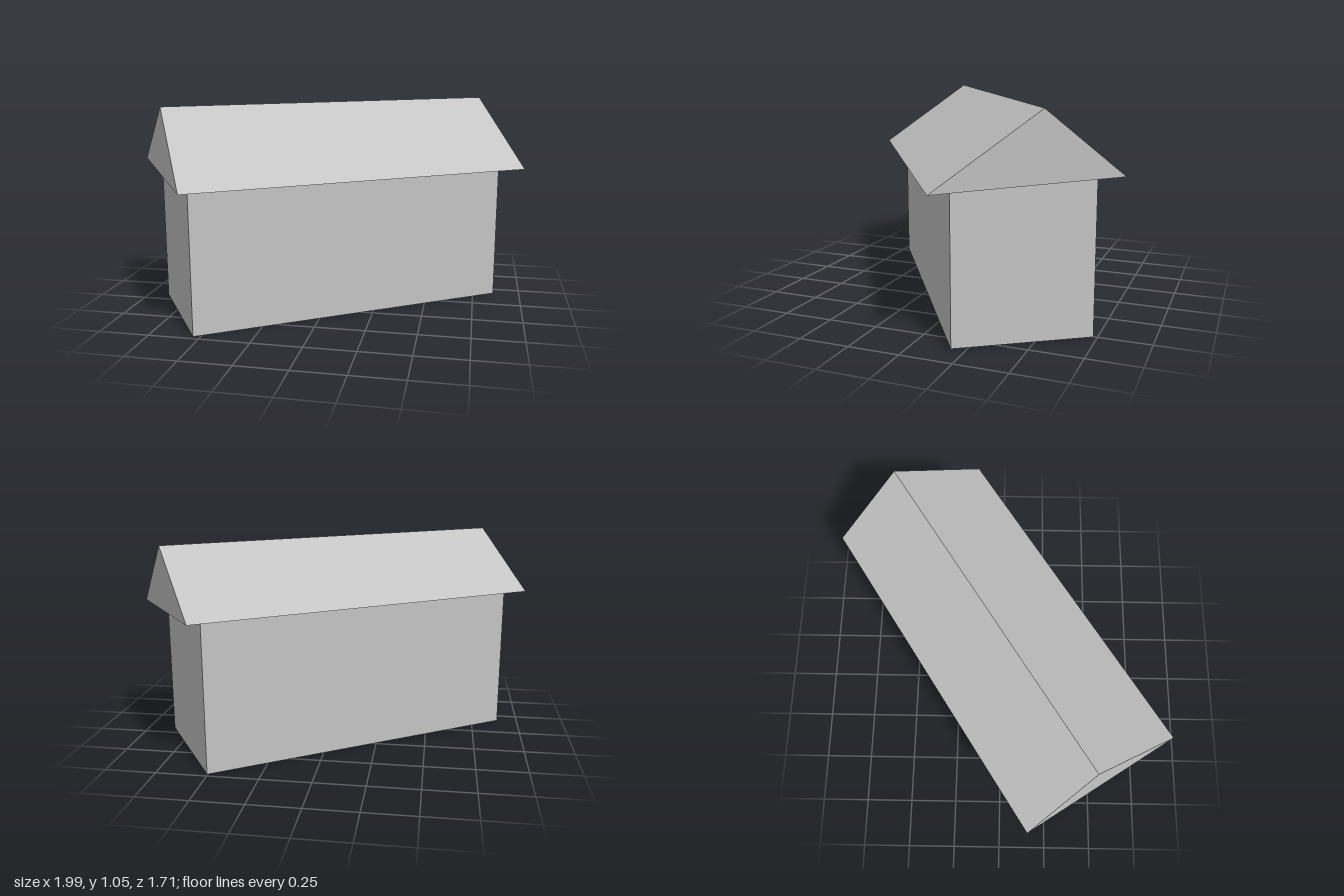
import * as THREE from 'three';

// Flat panel through three or four corners, listed anticlockwise from outside
function panel(name, corners, material) {
  const geometry = new THREE.BufferGeometry();
  geometry.setAttribute('position', new THREE.Float32BufferAttribute(corners.flat(), 3));
  geometry.setIndex(corners.length === 4 ? [0, 1, 2, 0, 2, 3] : [0, 1, 2]);
  geometry.computeVertexNormals();
  const mesh = new THREE.Mesh(geometry, material);
  mesh.name = name;
  return mesh;
}

export function createModel() {
  const model = new THREE.Group();
  model.name = 'barn';
  const grey = new THREE.MeshStandardMaterial({ color: 0xc4c4c4, side: THREE.DoubleSide });
  grey.name = 'light grey';

  // The barn is laid out along x, then turned on its plot
  const barn = new THREE.Group();
  barn.name = 'building';
  barn.rotation.y = THREE.MathUtils.degToRad(33.1);
  model.add(barn);

  // Thin walls, open above and below
  const walls = new THREE.Group();
  walls.name = 'walls';
  const height = 0.75;
  const plan = [[-0.845, 0.317], [0.821, 0.317], [0.821, -0.338], [-0.845, -0.338]];
  const names = ['frontWall', 'rightWall', 'backWall', 'leftWall'];
  plan.forEach(([x, z], i) => {
    const [x2, z2] = plan[(i + 1) % 4];
    walls.add(panel(names[i], [[x, 0, z], [x2, 0, z2], [x2, height, z2], [x, height, z]], grey));
  });
  barn.add(walls);

  // Hollow roof, with the front eave lower and the ridge slightly offset
  const roof = new THREE.Group();
  roof.name = 'roof';
  const frontLeft = [-0.907, 0.705, 0.424], frontRight = [0.911, 0.705, 0.424];
  const backLeft = [-0.91, 0.75, -0.435], backRight = [0.907, 0.75, -0.435];
  const ridgeLeft = [-0.888, 1.05, -0.06], ridgeRight = [0.928, 1.05, -0.06];
  roof.add(
    panel('frontSlope', [frontLeft, frontRight, ridgeRight, ridgeLeft], grey),
    panel('backSlope', [backRight, backLeft, ridgeLeft, ridgeRight], grey),
    panel('leftGable', [backLeft, frontLeft, ridgeLeft], grey),
    panel('rightGable', [frontRight, backRight, ridgeRight], grey)
  );
  barn.add(roof);

  return model;
}
